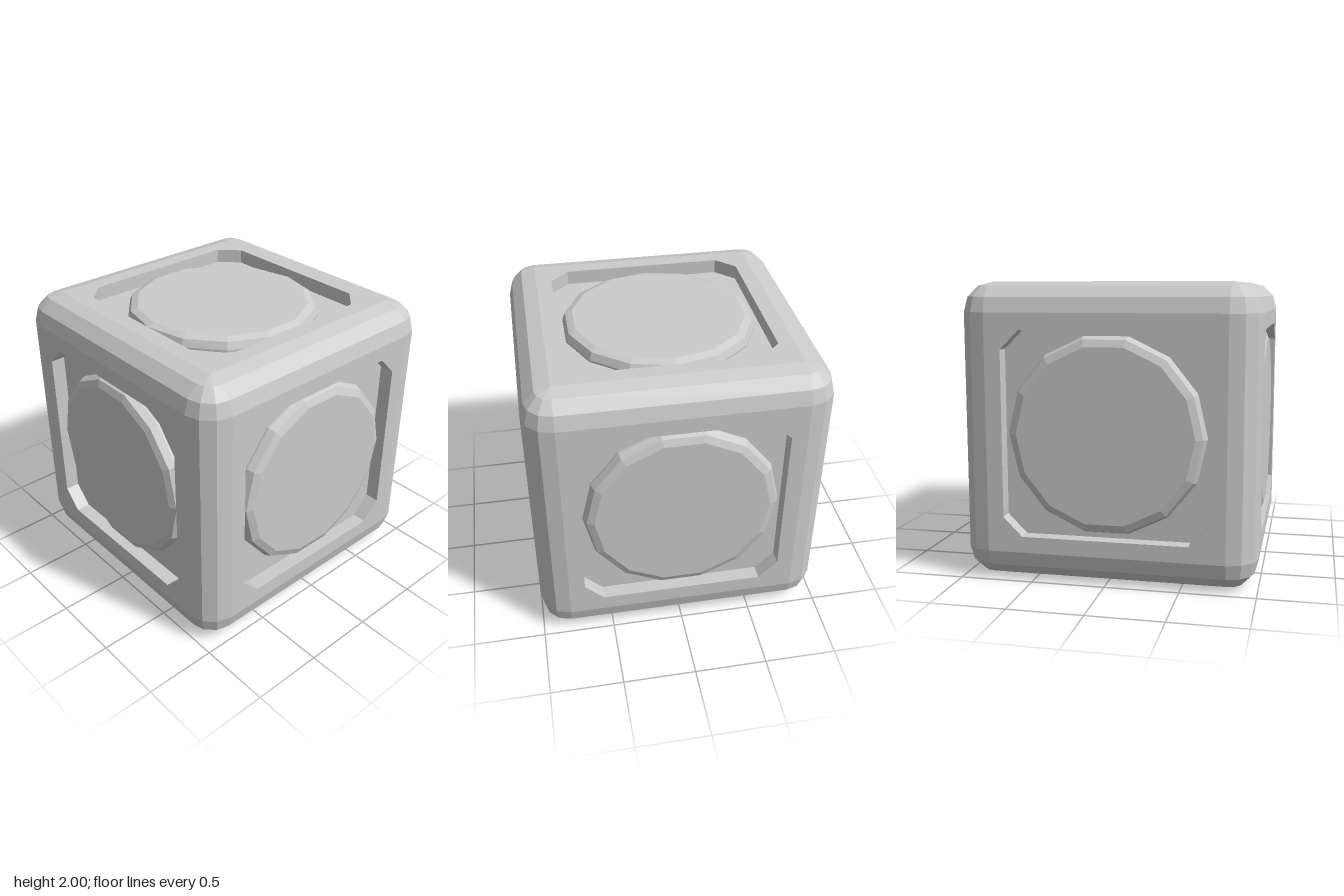
import * as THREE from 'three';

const R = 0.2;      // edge rounding
const C = 1 - R;    // half size of the flat part of each side
const FLOOR = 0.9;  // height of the recess floor above the cube centre

export function createModel() {
  const model = new THREE.Group();
  model.name = 'panelledCube';
  const material = new THREE.MeshStandardMaterial({ color: 0xcccccc, flatShading: true });

  const add = (parent, geometry, name) => {
    const mesh = new THREE.Mesh(geometry, material);
    mesh.name = name;
    parent.add(mesh);
    return mesh;
  };

  // Square frame with a chamfered opening, laid flat facing +y
  const square = [[-C, -C], [C, -C], [C, C], [-C, C]].map(p => new THREE.Vector2(...p));
  const frameShape = new THREE.Shape(square);
  const a = 0.69, b = 0.56;
  const opening = [[-b, -a], [b, -a], [a, -b], [a, b], [b, a], [-b, a], [-a, b], [-a, -b]];
  frameShape.holes.push(new THREE.Path(opening.map(p => new THREE.Vector2(...p))));
  const frame = new THREE.ExtrudeGeometry(frameShape, { depth: 1 - FLOOR, bevelEnabled: false })
    .translate(0, 0, FLOOR).rotateX(-Math.PI / 2);
  const floor = new THREE.PlaneGeometry(2 * C, 2 * C).translate(0, 0, FLOOR).rotateX(-Math.PI / 2);

  // Fourteen-sided button with a two-step rounded rim
  const r = 0.667, bevel = 0.07, top = 0.985;
  const profile = [new THREE.Vector2(r, FLOOR)];
  for (let i = 0; i <= 2; i++) {
    const t = i * Math.PI / 4;
    profile.push(new THREE.Vector2(r - bevel + bevel * Math.cos(t), top - bevel + bevel * Math.sin(t)));
  }
  profile.push(new THREE.Vector2(0, top));
  const button = new THREE.LatheGeometry(profile, 14);

  // Six sides
  const sides = {
    top: [0, 0, 0],
    bottom: [Math.PI, 0, 0],
    left: [0, 0, -Math.PI / 2],
    front: [0, -Math.PI / 2, -Math.PI / 2],
    right: [0, Math.PI, -Math.PI / 2],
    back: [0, Math.PI / 2, -Math.PI / 2],
  };
  const body = new THREE.Group();
  body.name = 'body';
  body.position.y = 1;
  model.add(body);
  for (const [name, rotation] of Object.entries(sides)) {
    const side = new THREE.Group();
    side.name = name + 'Side';
    side.rotation.set(...rotation);
    add(side, frame, name + 'Frame');
    add(side, floor, name + 'RecessFloor');
    add(side, button, name + 'Button');
    body.add(side);
  }

  // Twelve rounded edges: four along each axis
  const edge = new THREE.CylinderGeometry(R, R, 2 * C, 3, 1, true, 0, Math.PI / 2).translate(C, 0, C);
  for (const [x, z] of [[0, 0], [Math.PI / 2, 0], [0, Math.PI / 2]]) {
    const edges = new THREE.Group();
    edges.name = 'roundedEdges';
    edges.rotation.set(x, 0, z);
    for (let i = 0; i < 4; i++) add(edges, edge, 'roundedEdge').rotation.y = i * Math.PI / 2;
    body.add(edges);
  }

  // Eight rounded corners: upper and lower sphere octants
  for (const s of [1, -1]) {
    const corner = new THREE.SphereGeometry(R, 3, 3, Math.PI / 2, Math.PI / 2, s > 0 ? 0 : Math.PI / 2, Math.PI / 2)
      .translate(C, s * C, C);
    for (let i = 0; i < 4; i++) add(body, corner, 'roundedCorner').rotation.y = i * Math.PI / 2;
  }
  return model;
}
